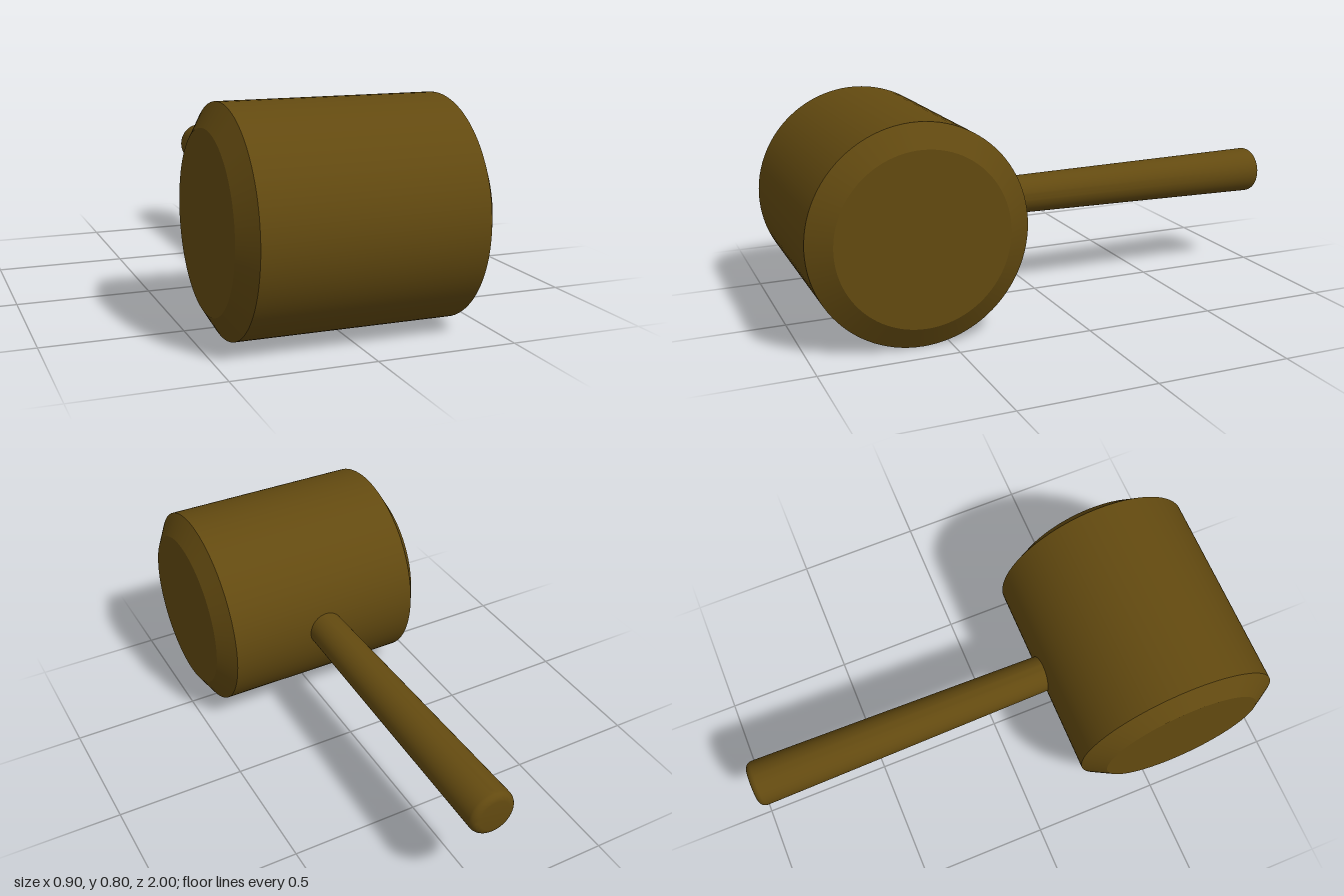
import * as THREE from 'three';
import { toCreasedNormals } from 'three/addons/utils/BufferGeometryUtils.js';

const wood = new THREE.MeshStandardMaterial({ color: 0x634a10 });
wood.name = 'dark wood';

const CENTRE_Y = 0.4;
const HEAD_Z = 0.6;

// Turned part from [radius, height] pairs, with crisp chamfers
function turned(name, profile, segments) {
  const points = profile.map(([r, y]) => new THREE.Vector2(r, y));
  const geometry = toCreasedNormals(new THREE.LatheGeometry(points, segments), 0.5);
  const mesh = new THREE.Mesh(geometry, wood);
  mesh.name = name;
  mesh.position.set(0, CENTRE_Y, HEAD_Z);
  return mesh;
}

export function createModel() {
  const model = new THREE.Group();
  model.name = 'mallet';

  // Barrel head lying along x, chamfered at both striking faces
  const head = turned('head', [
    [0, -0.45], [0.315, -0.45], [0.4, -0.397],
    [0.4, 0.397], [0.315, 0.45], [0, 0.45],
  ], 96);
  head.rotation.z = Math.PI / 2;

  // Handle running back from inside the head, widening to a rounded end
  const length = 1.6, endRadius = 0.09, fillet = 0.03, steps = 6;
  const profile = [[0, 0], [0.066, 0]];
  for (let i = 0; i <= steps; i++) {
    const a = (i / steps) * Math.PI / 2;
    profile.push([
      endRadius - fillet + fillet * Math.cos(a),
      length - fillet + fillet * Math.sin(a),
    ]);
  }
  profile.push([0, length]);
  const handle = turned('handle', profile, 48);
  handle.rotation.x = -Math.PI / 2;

  model.add(head, handle);
  return model;
}
